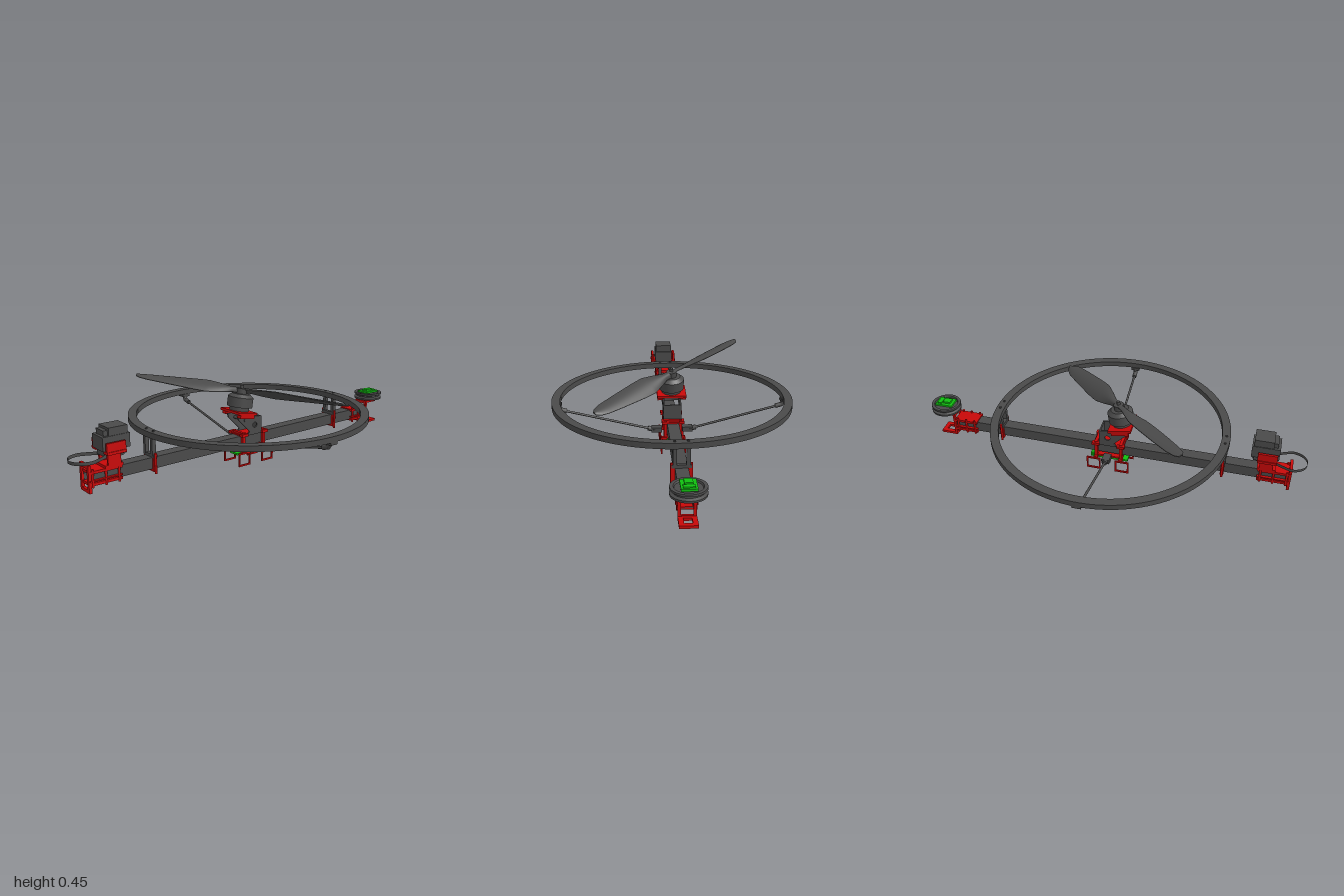
import * as THREE from 'three';

const mat = (color) => new THREE.MeshStandardMaterial({ color, side: THREE.DoubleSide });
const V = (x, y, z) => new THREE.Vector3(x, y, z);

export function createModel() {
  const model = new THREE.Group();
  const dark = mat(0x4a4a4a), red = mat(0xc80808), green = mat(0x10c010);

  const add = (name, geo, m, x = 0, y = 0, z = 0, parent = model) => {
    const mesh = new THREE.Mesh(geo, m);
    mesh.name = name;
    mesh.position.set(x, y, z);
    parent.add(mesh);
    return mesh;
  };
  // Box given by its limits on each axis
  const box = (name, m, x0, x1, y0, y1, z0, z1, parent) =>
    add(name, new THREE.BoxGeometry(x1 - x0, y1 - y0, z1 - z0), m,
      (x0 + x1) / 2, (y0 + y1) / 2, (z0 + z1) / 2, parent);
  const disc = (name, m, r, h, x, y, z, parent, seg = 40) =>
    add(name, new THREE.CylinderGeometry(r, r, h, seg), m, x, y, z, parent);
  const rod = (name, m, a, b, r, sides = 12) => {
    const d = b.clone().sub(a);
    const mesh = add(name, new THREE.CylinderGeometry(r, r, d.length(), sides), m);
    mesh.position.copy(a).addScaledVector(d, 0.5);
    mesh.quaternion.setFromUnitVectors(V(0, 1, 0), d.normalize());
    return mesh;
  };
  const rectPath = (w, h, P = THREE.Shape) => new P([[-w, -h], [w, -h], [w, h], [-w, h]]
    .map(([x, y]) => new THREE.Vector2(x, y)));
  // Rectangular frame in the xy plane, centred, extruded by depth
  const frame = (w, h, t, depth) => {
    const s = rectPath(w / 2, h / 2);
    s.holes.push(rectPath(w / 2 - t, h / 2 - t, THREE.Path));
    return new THREE.ExtrudeGeometry(s, { depth, bevelEnabled: false }).translate(0, 0, -depth / 2);
  };

  // Square hollow beam
  add('beam', frame(0.06, 0.056, 0.006, 1.78).rotateY(Math.PI / 2), dark, -0.03, 0.122, 0);

  // Guard ring
  const ringShape = new THREE.Shape().absarc(0, 0, 0.612, 0, Math.PI * 2);
  ringShape.holes.push(new THREE.Path().absarc(0, 0, 0.57, 0, Math.PI * 2));
  add('guardRing', new THREE.ExtrudeGeometry(ringShape, { depth: 0.028, bevelEnabled: false, curveSegments: 80 })
    .rotateX(-Math.PI / 2), dark, 0, 0.246, 0);

  // Ring posts with clamps around the beam
  for (const s of [-1, 1]) {
    add('ringClamp', frame(0.084, 0.08, 0.012, 0.018).rotateY(Math.PI / 2), red, s * 0.592, 0.122, 0);
    box('postFoot', dark, s * 0.592 - 0.01, s * 0.592 + 0.01, 0.15, 0.165, -0.045, 0.045);
    for (const z of [-0.03, 0.03]) {
      box('ringPost', dark, s * 0.595 - 0.01, s * 0.595 + 0.01, 0.16, 0.248, z - 0.009, z + 0.009);
      disc('clampBolt', red, 0.006, 0.1, s * 0.592, 0.122, z * 1.5, model, 8);
      disc('ringScrew', dark, 0.006, 0.006, s * 0.591, 0.276, z, model, 8);
    }
  }

  // Struts from the beam centre out to the ring
  for (const s of [-1, 1]) {
    rod('strut', dark, V(0, 0.092, s * 0.1), V(0, 0.208, s * 0.56), 0.006);
    rod('lowerStrutSocket', dark, V(0, 0.092, s * 0.1), V(0, 0.098, s * 0.125), 0.013);
    rod('upperStrutSocket', dark, V(0, 0.204, s * 0.54), V(0, 0.214, s * 0.575), 0.012);
    rod('strutLug', dark, V(0, 0.21, s * 0.57), V(0, 0.248, s * 0.592), 0.012, 8);
    box('ringBracket', dark, -0.022, 0.022, 0.232, 0.247, s * 0.587 - 0.022, s * 0.587 + 0.022);
    box('strutAnchor', dark, -0.02, 0.02, 0.08, 0.105, s * 0.08 - 0.027, s * 0.08 + 0.027);
    rod('strutPin', dark, V(-0.025, 0.092, s * 0.095), V(0.025, 0.092, s * 0.095), 0.006);
  }

  // Centre clamps, cross plates and landing feet
  for (const x of [-0.066, 0.066]) {
    add('centreClamp', frame(0.094, 0.1, 0.016, 0.016).rotateY(Math.PI / 2), red, x, 0.118, 0);
    for (const z of [-0.06, 0.06]) {
      add('landingFoot', frame(0.074, 0.07, 0.008, 0.008), red, x * 1.15, 0.035, z);
      box('footArm', red, x - 0.01, x + 0.01, 0.062, 0.075, Math.min(z, z * 0.5), Math.max(z, z * 0.5));
      box('clampTab', red, x - 0.02, x + 0.02, 0.15, 0.164, z * 0.75 - 0.012, z * 0.75 + 0.012);
    }
  }
  box('lowerPlate', red, -0.07, 0.07, 0.07, 0.08, -0.04, 0.04);
  box('circuitBoard', green, -0.1, 0.1, 0.052, 0.062, -0.03, 0.03);
  box('boardChip', green, -0.03, 0.03, 0.042, 0.052, -0.015, 0.015);
  box('boardConnector', green, 0.07, 0.1, 0.055, 0.072, -0.022, 0.022);

  // Motor stand: tapered side plates joined by walls
  const standShape = new THREE.Shape([[-0.105, 0.262], [-0.1, 0.24], [-0.03, 0.17], [-0.045, 0.15],
    [0.05, 0.15], [0.05, 0.24]].map(([x, y]) => new THREE.Vector2(x, y)));
  standShape.holes.push(new THREE.Path().absarc(0.005, 0.2, 0.014, 0, Math.PI * 2));
  for (const z of [-0.046, 0.038])
    add('standSide', new THREE.ExtrudeGeometry(standShape, { depth: 0.008, bevelEnabled: false }), dark, 0, 0, z);
  box('standWall', dark, 0.042, 0.05, 0.15, 0.24, -0.046, 0.046);
  rod('standSpacer', dark, V(-0.06, 0.235, -0.05), V(-0.06, 0.235, 0.05), 0.008);
  box('standBase', red, -0.08, 0.08, 0.15, 0.157, -0.045, 0.045);

  // Tilted motor with propeller
  const motor = new THREE.Group();
  motor.name = 'motor';
  motor.position.set(-0.045, 0.378, 0);
  motor.rotation.z = THREE.MathUtils.degToRad(-10);
  model.add(motor);
  box('motorPlate', red, -0.06, 0.06, -0.113, -0.1, -0.075, 0.075, motor);
  for (const z of [-0.06, 0.06]) box('plateLug', red, -0.045, 0.045, -0.13, -0.113, z - 0.014, z + 0.014, motor);
  disc('motorBase', dark, 0.05, 0.02, 0, -0.09, 0, motor);
  disc('motorBell', dark, 0.065, 0.05, 0, -0.055, 0, motor);
  add('motorCap', new THREE.CylinderGeometry(0.045, 0.065, 0.016, 40), dark, 0, -0.022, 0, motor);
  disc('propellerHub', dark, 0.026, 0.03, 0, -0.002, 0, motor);
  disc('propellerShaft', dark, 0.009, 0.02, 0, 0.02, 0, motor, 16);

  // Blade: a box shaped by chord, twist and camber along its length
  const chords = [[0, 0.036], [0.1, 0.042], [0.2, 0.075], [0.32, 0.108], [0.45, 0.106],
    [0.7, 0.09], [0.88, 0.074], [0.96, 0.052], [1, 0.018]];
  const chordAt = (s) => {
    const i = Math.max(1, chords.findIndex((c) => c[0] >= s - 1e-6));
    const [a, b] = [chords[i - 1], chords[i]];
    return THREE.MathUtils.mapLinear(s, a[0], b[0], a[1], b[1]);
  };
  const blade = new THREE.BoxGeometry(1, 1, 1, 50, 1, 10);
  const p = blade.attributes.position;
  for (let i = 0; i < p.count; i++) {
    const s = p.getX(i) + 0.5, u = p.getZ(i) * 2;
    const c = chordAt(s) / 2 * u;
    const twist = THREE.MathUtils.degToRad(33 - 22 * s);
    const bulge = 1 - u * u;
    const h = p.getY(i) * (0.003 + bulge * 0.016 * (1 - 0.75 * s)) + bulge * 0.006;
    p.setXYZ(i, s * 0.545, h * Math.cos(twist) + c * Math.sin(twist), c * Math.cos(twist) - h * Math.sin(twist));
  }
  blade.computeVertexNormals();
  for (const turn of [0, Math.PI])
    add('propellerBlade', blade, dark, 0, 0, 0, motor).rotation.y = -Math.PI / 4 + turn;

  // Clamp shells shared by both beam ends
  const endClamp = (x0, x1) => {
    for (const y of [0.088, 0.143]) box('endClampPlate', red, x0, x1, y, y + 0.013, -0.043, 0.043);
    for (const z of [-0.039, 0.039]) {
      for (let i = 0; i < 3; i++) {
        const x = THREE.MathUtils.lerp(x0 + 0.015, x1 - 0.015, i / 2);
        disc('endClampBolt', red, 0.006, 0.085, x, 0.122, z, model, 8);
      }
      box('endClampRail', red, x0, x1, 0.108, 0.114, z - 0.007, z + 0.007);
    }
  };

  // Left end: bracket and grooved wheel with sensor board
  endClamp(0.735, 0.86);
  add('wheelBracket', frame(0.08, 0.13, 0.014, 0.012).rotateY(Math.PI / 2), red, 0.866, 0.118, 0);
  box('upperArm', red, 0.866, 0.95, 0.171, 0.184, -0.035, 0.035);
  add('lowerArm', frame(0.085, 0.08, 0.022, 0.013).rotateX(Math.PI / 2), red, 0.908, 0.058, 0);
  const wheel = [[0.001, 0], [0.077, 0], [0.078, 0.01], [0.066, 0.016], [0.066, 0.023], [0.078, 0.028],
    [0.077, 0.037], [0.062, 0.037], [0.058, 0.03], [0.001, 0.03]].map(([r, y]) => new THREE.Vector2(r, y));
  const wheelGeo = new THREE.LatheGeometry(wheel, 40).toNonIndexed();
  wheelGeo.computeVertexNormals();
  add('wheel', wheelGeo, dark, 0.921, 0.19, 0);
  disc('wheelAxle', dark, 0.012, 0.03, 0.921, 0.178, 0, model, 16);
  box('sensorBoard', green, 0.875, 0.968, 0.225, 0.235, -0.034, 0.034);
  box('sensorChip', green, 0.89, 0.93, 0.235, 0.245, -0.018, 0.018);
  box('sensorConnector', green, 0.935, 0.958, 0.235, 0.241, -0.025, 0.025);

  // Right end: servo on its mount
  endClamp(-0.925, -0.765);
  add('endPlate', frame(0.084, 0.13, 0.016, 0.014).rotateY(Math.PI / 2), red, -0.924, 0.12, 0);
  box('mountBase', red, -0.85, -0.76, 0.155, 0.168, -0.045, 0.045);
  for (const z of [-0.04, 0.04]) {
    box('mountWall', red, -0.835, -0.77, 0.165, 0.225, z - 0.006, z + 0.006);
    box('mountFlange', red, -0.85, -0.755, 0.222, 0.235, z * 1.4 - 0.018, z * 1.4 + 0.018);
    box('mountTab', red, -0.85, -0.755, 0.235, 0.275, z * 1.6 - 0.006, z * 1.6 + 0.006);
  }
  box('servoBody', dark, -0.845, -0.735, 0.205, 0.325, -0.034, 0.034);
  box('servoCase', dark, -0.858, -0.722, 0.235, 0.3, -0.048, 0.048);
  box('servoTop', dark, -0.825, -0.73, 0.3, 0.337, -0.045, 0.045);
  disc('servoGear', dark, 0.024, 0.024, -0.755, 0.205, 0, model, 24);

  // Thin belt: a round loop narrowing towards the servo
  const beltCurve = new THREE.CatmullRomCurve3([[-0.998, 0], [-0.978, 0.048], [-0.93, 0.07], [-0.88, 0.054],
    [-0.83, 0.03], [-0.75, 0.024], [-0.725, 0], [-0.75, -0.024], [-0.83, -0.03], [-0.88, -0.054],
    [-0.93, -0.07], [-0.978, -0.048]].map(([x, z]) => V(x, 0, z)), true);
  const pts = beltCurve.getPoints(72), pos = [], index = [];
  pts.forEach((q, i) => {
    pos.push(q.x, 0.198, q.z, q.x, 0.214, q.z);
    if (i < 72) index.push(2 * i, 2 * i + 2, 2 * i + 1, 2 * i + 1, 2 * i + 2, 2 * i + 3);
  });
  const belt = new THREE.BufferGeometry();
  belt.setAttribute('position', new THREE.Float32BufferAttribute(pos, 3));
  belt.setIndex(index);
  belt.computeVertexNormals();
  add('belt', belt, dark);

  return model;
}
